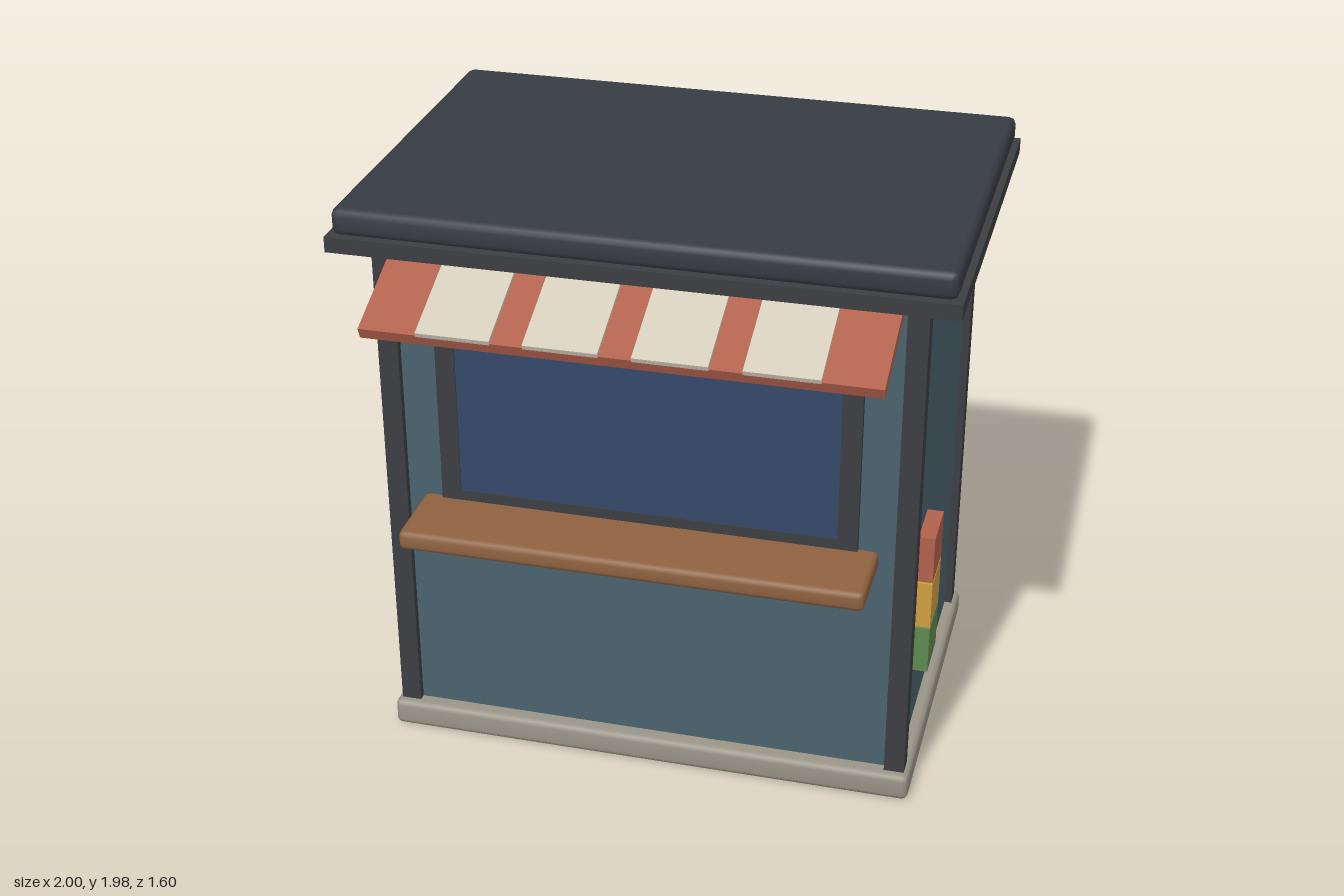
import * as THREE from 'three';
import { RoundedBoxGeometry } from 'three/addons/geometries/RoundedBoxGeometry.js';
import { mergeVertices } from 'three/addons/utils/BufferGeometryUtils.js';

const COLORS = {
  wall: 0x4a626c, trim: 0x3c3e43, roof: 0x373b43, stone: 0x9a9488, wood: 0x8f6240,
  red: 0xb0614b, cream: 0xd3ccba, glass: 0x34486a, iron: 0x2a2e33, yellow: 0xcf9d40, green: 0x5f8850,
};
const materials = {};
for (const key in COLORS) materials[key] = new THREE.MeshStandardMaterial({ color: COLORS[key] });

function addMesh(parent, name, geometry, color) {
  const mesh = new THREE.Mesh(geometry, materials[color]);
  mesh.name = name;
  parent.add(mesh);
  return mesh;
}

// Box given by its [min, max] extent on each axis; a bevel gives softly shaded edges
function block(parent, name, color, [x0, x1], [y0, y1], [z0, z1], bevel = 0) {
  const size = [x1 - x0, y1 - y0, z1 - z0];
  let geometry;
  if (bevel > 0) {
    geometry = new RoundedBoxGeometry(...size, 1, bevel);
    geometry.deleteAttribute('normal');
    geometry.deleteAttribute('uv');
    geometry = mergeVertices(geometry, 1e-4);
    geometry.computeVertexNormals();
  } else {
    geometry = new THREE.BoxGeometry(...size);
  }
  const mesh = addMesh(parent, name, geometry, color);
  mesh.position.set((x0 + x1) / 2, (y0 + y1) / 2, (z0 + z1) / 2);
  return mesh;
}

// Slanted square bar at a given x between two [y, z] points
function strut(parent, name, x, [y0, z0], [y1, z1], thickness) {
  const length = Math.hypot(y1 - y0, z1 - z0);
  const mesh = addMesh(parent, name, new THREE.BoxGeometry(thickness, length, thickness), 'iron');
  mesh.position.set(x, (y0 + y1) / 2, (z0 + z1) / 2);
  mesh.rotation.x = Math.atan2(z1 - z0, y1 - y0);
}

export function createModel() {
  const kiosk = new THREE.Group();
  kiosk.name = 'kiosk';

  // Base, walls and roof
  block(kiosk, 'base', 'stone', [-0.91, 0.91], [0, 0.095], [-0.716, 0.496], 0.02);
  block(kiosk, 'walls', 'wall', [-0.865, 0.865], [0.09, 1.845], [-0.66, 0.44]);
  block(kiosk, 'eave', 'trim', [-1, 1], [1.84, 1.892], [-0.8, 0.577]);
  block(kiosk, 'roof', 'roof', [-0.983, 0.983], [1.89, 1.98], [-0.785, 0.562], 0.024);

  // Corner posts
  for (const x of [-0.857, 0.857]) {
    for (const z of [-0.651, 0.431]) {
      block(kiosk, 'cornerPost', 'trim', [x - 0.034, x + 0.034], [0.09, 1.845], [z - 0.034, z + 0.034]);
    }
  }

  // Serving window
  const frame = new THREE.Group();
  frame.name = 'windowFrame';
  kiosk.add(frame);
  for (const s of [-1, 1]) {
    block(frame, 'frameSide', 'trim', [s * 0.667 - 0.033, s * 0.667 + 0.033], [0.93, 1.53], [0.42, 0.46]);
  }
  block(frame, 'frameTop', 'trim', [-0.634, 0.634], [1.505, 1.53], [0.42, 0.46]);
  block(frame, 'frameBottom', 'trim', [-0.634, 0.634], [0.93, 0.968], [0.42, 0.46]);
  block(kiosk, 'windowPane', 'glass', [-0.634, 0.634], [0.968, 1.505], [0.42, 0.456]);

  // Counter and its brackets
  block(kiosk, 'counter', 'wood', [-0.768, 0.768], [0.865, 0.932], [0.43, 0.71], 0.018);
  for (const x of [-0.616, 0.616]) strut(kiosk, 'counterBracket', x, [0.735, 0.425], [0.885, 0.54], 0.036);

  // Awning, sloping down from its front top edge
  const awning = new THREE.Group();
  awning.name = 'awning';
  awning.position.set(0, 1.7, 0.796);
  awning.rotation.x = 0.405;
  kiosk.add(awning);
  block(awning, 'awningPanel', 'red', [-0.815, 0.815], [-0.04, 0], [-0.37, 0]);
  for (const x of [-0.51, -0.17, 0.17, 0.51]) {
    block(awning, 'awningStripe', 'cream', [x - 0.118, x + 0.118], [-0.005, 0.012], [-0.37, 0.001]);
    block(kiosk, 'awningBackTab', 'cream', [x - 0.118, x + 0.118], [1.705, 1.81], [0.44, 0.488]);
  }
  for (const x of [-0.68, 0.68]) strut(kiosk, 'awningBrace', x, [1.51, 0.452], [1.704, 0.617], 0.034);

  // Stack of coloured panels on the side wall
  ['green', 'yellow', 'red'].forEach((color, i) => {
    const y = 0.355 + i * 0.177;
    block(kiosk, color + 'SidePanel', color, [0.86, 0.92], [y, y + 0.17], [0.048, 0.234]);
  });

  return kiosk;
}
